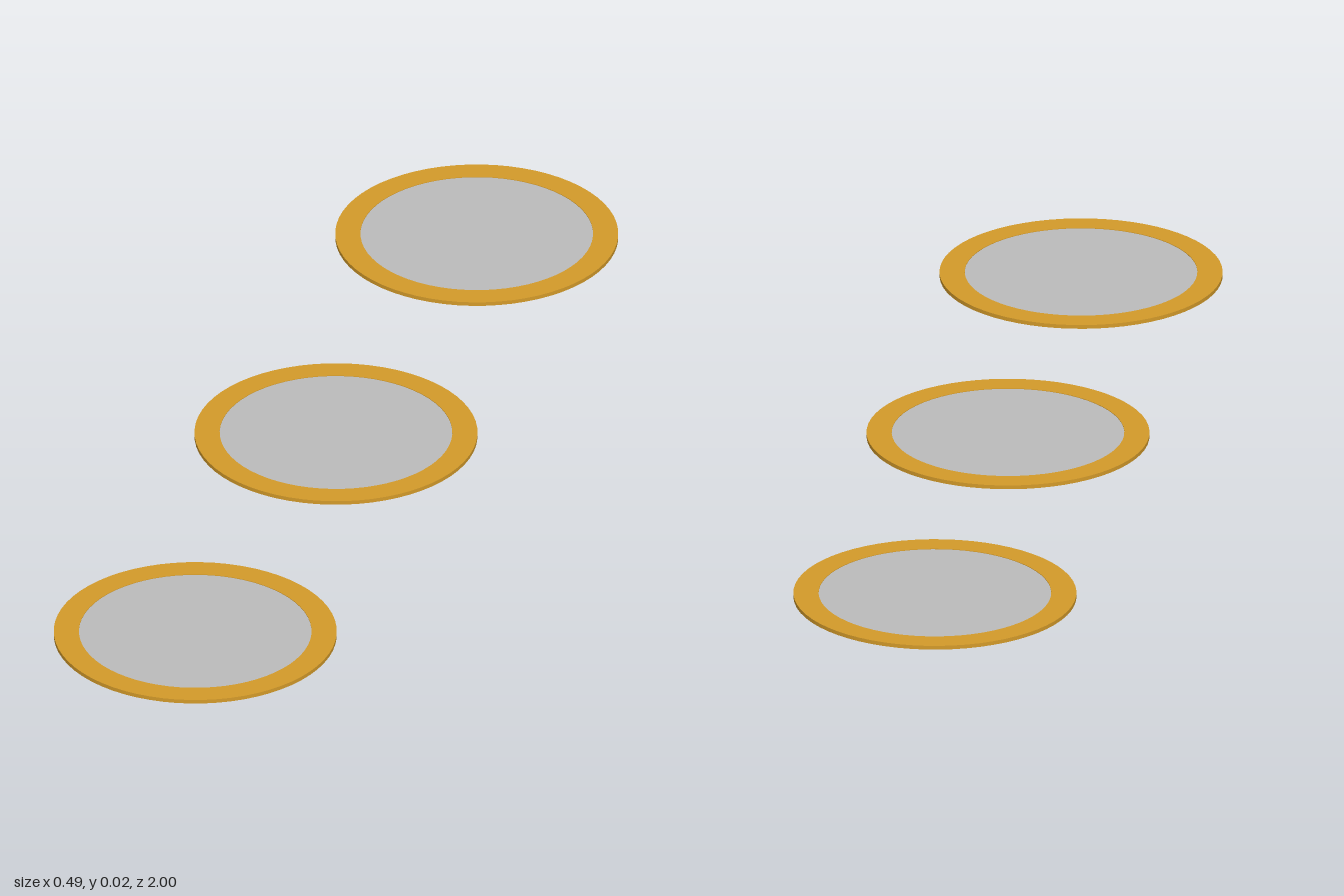
import * as THREE from 'three';

export function createModel() {
  const group = new THREE.Group();
  const gold = new THREE.MeshStandardMaterial({ name: 'gold', color: 0xd49b2a });
  const grey = new THREE.MeshStandardMaterial({ name: 'lightGrey', color: 0xbcbcbc, side: THREE.DoubleSide });

  const INNER = 0.203, OUTER = 0.247, TOP = 0.023, LIP = 0.016, SPACING = 0.753;

  // Ring cross-section as separate strips, so every edge stays sharp
  const section = [[INNER, 0], [OUTER, LIP], [OUTER, TOP], [INNER, TOP], [INNER, 0]]
    .map(([r, y]) => new THREE.Vector2(r, y));
  const strips = ['underside', 'outerRim', 'topFace', 'innerWall'].map((name, i) => ({
    name, geometry: new THREE.LatheGeometry([section[i], section[i + 1]], 64),
  }));

  // Thin pane set just below the ring's top face
  const paneGeometry = new THREE.CircleGeometry(INNER, 64);
  paneGeometry.rotateX(-Math.PI / 2);

  // Three identical discs in a row
  ['back', 'middle', 'front'].forEach((place, i) => {
    const disc = new THREE.Group();
    disc.name = `${place}Disc`;
    disc.position.z = (i - 1) * SPACING;

    const ring = new THREE.Group();
    ring.name = 'ring';
    for (const { name, geometry } of strips) {
      const strip = new THREE.Mesh(geometry, gold);
      strip.name = name;
      ring.add(strip);
    }

    const pane = new THREE.Mesh(paneGeometry, grey);
    pane.name = 'pane';
    pane.position.y = TOP - 0.001;

    disc.add(ring, pane);
    group.add(disc);
  });

  return group;
}
